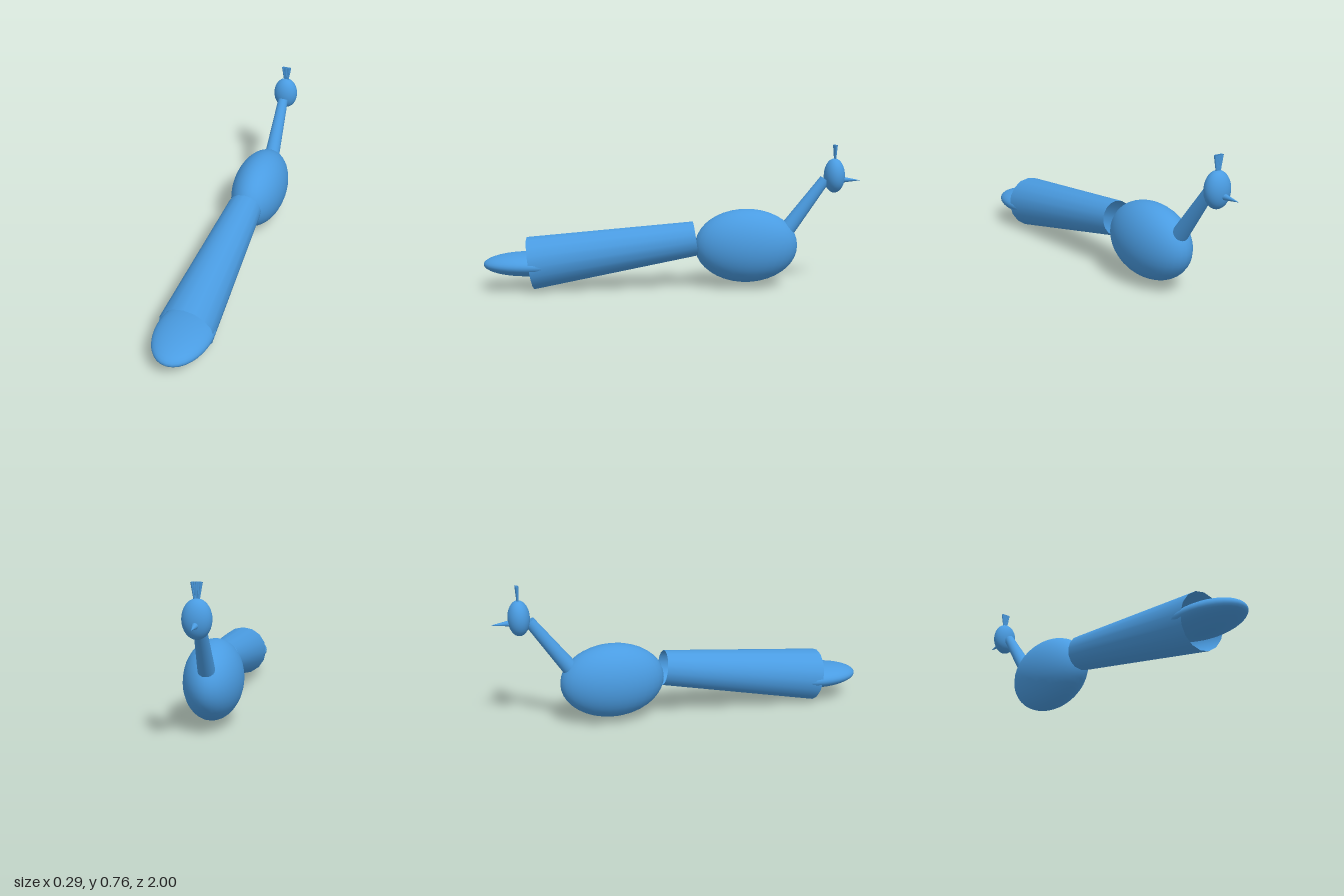
import * as THREE from 'three';

export function createModel() {
  const bird = new THREE.Group();
  bird.name = 'bird';
  const blue = new THREE.MeshStandardMaterial({ color: 0x4a9ce2, side: THREE.DoubleSide });
  blue.name = 'blue';

  function add(name, geometry, parent = bird) {
    const mesh = new THREE.Mesh(geometry, blue);
    mesh.name = name;
    parent.add(mesh);
    return mesh;
  }

  function ellipsoid(name, center, radii) {
    const mesh = add(name, new THREE.SphereGeometry(1, 32, 20));
    mesh.position.set(...center);
    mesh.scale.set(...radii);
    return mesh;
  }

  // Tapered round part running from one point to another
  function taper(name, from, to, r0, r1, sides, open, parent) {
    const a = new THREE.Vector3(...from);
    const b = new THREE.Vector3(...to);
    const axis = b.clone().sub(a);
    const mesh = add(name, new THREE.CylinderGeometry(r1, r0, axis.length(), sides, 1, open), parent);
    mesh.position.copy(a).add(b).multiplyScalar(0.5);
    mesh.quaternion.setFromUnitVectors(new THREE.Vector3(0, 1, 0), axis.normalize());
    return mesh;
  }

  ellipsoid('body', [0, 0.23, -0.393], [0.147, 0.197, 0.275]);
  ellipsoid('head', [0, 0.603, -0.86], [0.068, 0.091, 0.055]);
  taper('neck', [0, 0.294, -0.596], [0, 0.583, -0.81], 0.043, 0.028, 24, false);
  taper('beak', [0, 0.582, -0.88], [0, 0.577, -1], 0.02, 0, 16, false);

  // Hollow tail with a flattened tip showing at the open end
  taper('tail', [0, 0.27, -0.12], [0, 0.145, 0.752], 0.093, 0.142, 16, true);
  ellipsoid('tailTip', [0, 0.143, 0.765], [0.145, 0.062, 0.235]);

  // Crest: a fan of slim upturned cones
  const crest = new THREE.Group();
  crest.name = 'crest';
  bird.add(crest);
  for (let i = -2; i <= 2; i++) {
    taper('crestFeather', [i * 0.004, 0.665, -0.862], [i * 0.0095, 0.765, -0.862], 0.002, 0.0085, 10, true, crest);
  }

  return bird;
}
